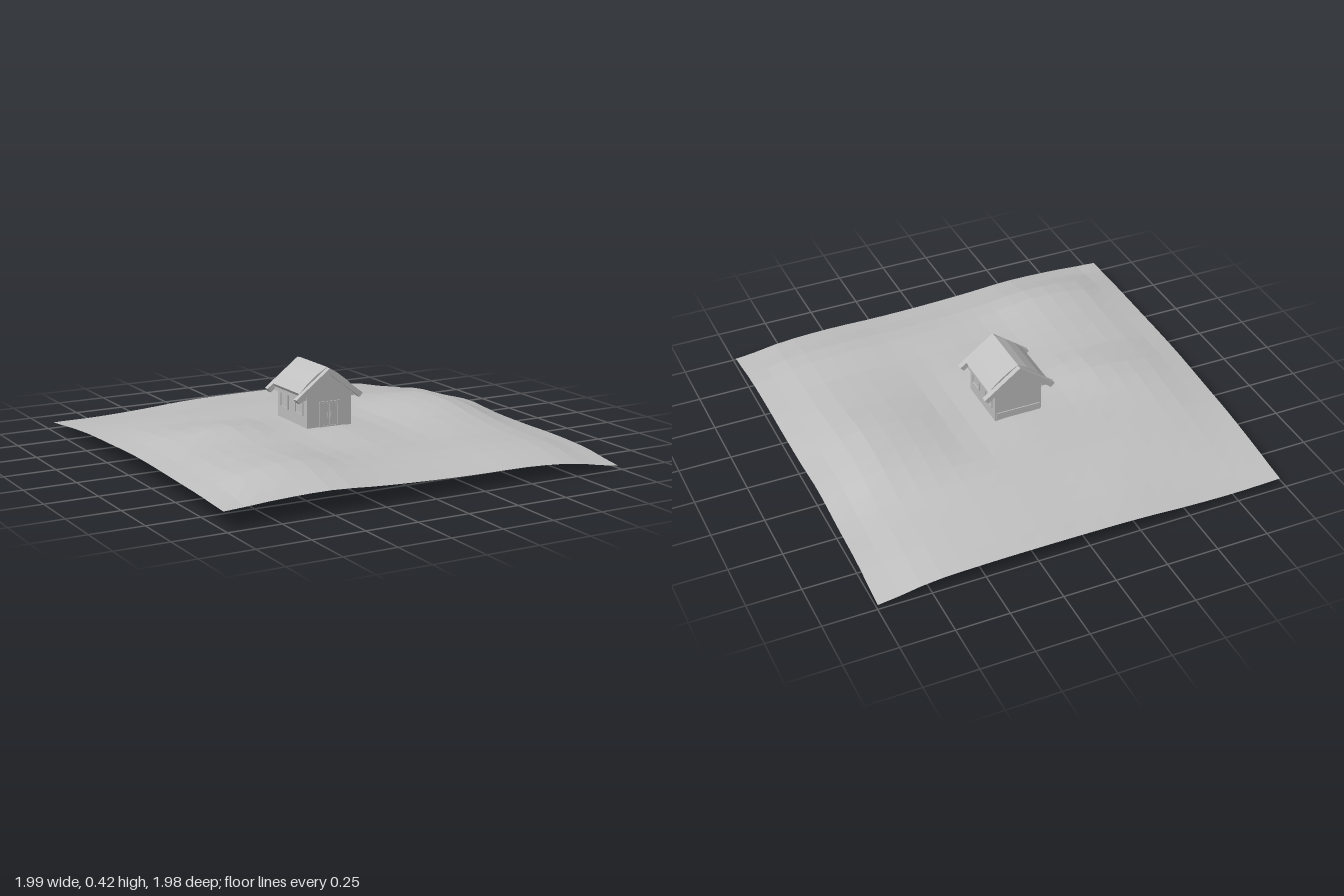
import * as THREE from 'three';

const grey = new THREE.MeshStandardMaterial({ color: 0xc0c0c0, flatShading: true, side: THREE.DoubleSide });
grey.name = 'plain grey';

function add(parent, name, geometry, x = 0, y = 0, z = 0) {
  const mesh = new THREE.Mesh(geometry, grey);
  mesh.name = name;
  mesh.position.set(x, y, z);
  parent.add(mesh);
  return mesh;
}

// Ground heights in hundredths: rows run back to front, columns run from -x to +x
const HEIGHTS = [
  [3.5, 3.5, 4.5, 6, 6.5, 6.5, 6, 4.5, 0],
  [6, 7, 8, 9, 9, 9.5, 9, 7.5, 4],
  [8, 10, 11.5, 12, 12.5, 12.5, 12, 10, 5.5],
  [9, 12.5, 13.5, 14, 14, 12.5, 14.5, 14.5, 7.5],
  [10, 14.5, 17, 14.5, 13.8, 12.5, 15.5, 15, 6],
  [10, 13.5, 14.5, 13.5, 13.8, 12.5, 13.5, 12, 5.5],
  [9.5, 13.5, 15, 13, 12.5, 11.5, 11.5, 10, 5.5],
  [9, 14.5, 16, 13, 11.5, 11, 11, 9.5, 4.5],
  [8, 9.5, 10, 8.5, 7.5, 7, 7, 5.5, 1.5],
];

// Smooth curve through evenly spaced values, t from 0 to 1
function along(values, t) {
  const n = values.length - 1;
  const i = Math.min(Math.floor(t * n), n - 1);
  const f = t * n - i;
  const a = values[Math.max(i - 1, 0)], b = values[i];
  const c = values[i + 1], d = values[Math.min(i + 2, n)];
  return b + 0.5 * f * (c - a + f * (2 * a - 5 * b + 4 * c - d + f * (3 * (b - c) + d - a)));
}

function groundGeometry() {
  const g = new THREE.PlaneGeometry(2, 2, 20, 20).rotateX(-Math.PI / 2);
  const p = g.attributes.position;
  for (let i = 0; i < p.count; i++) {
    const u = p.getX(i), v = p.getZ(i);
    const s = (u + 1) / 2, t = (v + 1) / 2;
    const y = along(HEIGHTS.map((row) => along(row, s)), t) / 100;
    const x = u * (u < 0 ? 0.99 - 0.01 * v * u : 0.99);
    const z = v * (v < 0 ? 0.99 - 0.015 * u * u : 0.965 + 0.02 * Math.max(u, 0) ** 2);
    p.setXYZ(i, x, Math.max(y, 0), z);
  }
  return g;
}

// Outline given for the +x half, mirrored and extruded from z0 to z1
function symmetricSlab(half, z0, z1) {
  const left = half.filter(([x]) => x > 0).reverse().map(([x, y]) => [-x, y]);
  return outlineSlab([...half, ...left], z0, z1);
}

function outlineSlab(points, z0, z1) {
  const shape = new THREE.Shape(points.map(([x, y]) => new THREE.Vector2(x, y)));
  return new THREE.ExtrudeGeometry(shape, { depth: z1 - z0, bevelEnabled: false }).translate(0, 0, z0);
}

// Rectangular border with an open middle, facing +z
function frameGeometry(w, h, border, depth) {
  const box = (a, b) => [[-a, -b], [a, -b], [a, b], [-a, b]].map(([x, y]) => new THREE.Vector2(x, y));
  const shape = new THREE.Shape(box(w / 2, h / 2));
  shape.holes.push(new THREE.Path(box(w / 2 - border, h / 2 - border)));
  return new THREE.ExtrudeGeometry(shape, { depth, bevelEnabled: false });
}

function buildHouse() {
  const house = new THREE.Group();
  house.name = 'house';
  house.position.x = -0.035;

  // Walls with gables
  add(house, 'walls', symmetricSlab([[0, 0.39], [0.118, 0.295], [0.118, 0.128]], -0.165, 0.122));

  // Roof covering, bulging slightly, in two halves that meet at the ridge
  for (const side of [1, -1]) {
    const half = [[0, 0.417], [0.05, 0.388], [0.105, 0.346], [0.147, 0.304], [0.137, 0.288], [0, 0.39]];
    add(house, 'roofCovering', outlineSlab(half.map(([x, y]) => [x * side, y]), -0.158, 0.104));
    // Eave beam under the roof edge
    add(house, 'eaveBeam', new THREE.BoxGeometry(0.02, 0.016, 0.29), side * 0.13, 0.281, -0.025);
  }

  // Gable boards at front and back
  for (const [z0, z1] of [[0.102, 0.13], [-0.184, -0.156]]) {
    for (const side of [1, -1]) {
      const board = [[0, 0.415], [0.178, 0.281], [0.16, 0.262], [0, 0.387]];
      add(house, 'gableBoard', outlineSlab(board.map(([x, y]) => [x * side, y]), z0, z1));
    }
  }

  // Double door with frame and handles
  add(house, 'doorFrame', frameGeometry(0.108, 0.124, 0.009, 0.006), 0, 0.197, 0.122);
  for (const side of [1, -1]) {
    add(house, 'doorLeaf', new THREE.BoxGeometry(0.043, 0.108, 0.004), side * 0.0225, 0.195, 0.123);
    add(house, 'doorHandle', new THREE.BoxGeometry(0.004, 0.025, 0.006), side * 0.008, 0.195, 0.127);
  }

  // Two windows on each long wall
  for (const side of [1, -1]) {
    for (const z of [0.05, -0.095]) {
      const window = new THREE.Group();
      window.name = 'window';
      window.position.set(side * 0.118, 0.232, z);
      window.rotation.y = side * Math.PI / 2;
      add(window, 'windowFrame', frameGeometry(0.08, 0.078, 0.007, 0.006));
      add(window, 'windowPane', new THREE.BoxGeometry(0.066, 0.064, 0.002));
      house.add(window);
    }
  }

  // Plank along the foot of the back wall
  add(house, 'backPlank', new THREE.BoxGeometry(0.22, 0.035, 0.006), 0, 0.16, -0.167);
  return house;
}

export function createModel() {
  const model = new THREE.Group();
  model.name = 'cottageOnHills';
  add(model, 'ground', groundGeometry());
  model.add(buildHouse());
  return model;
}
